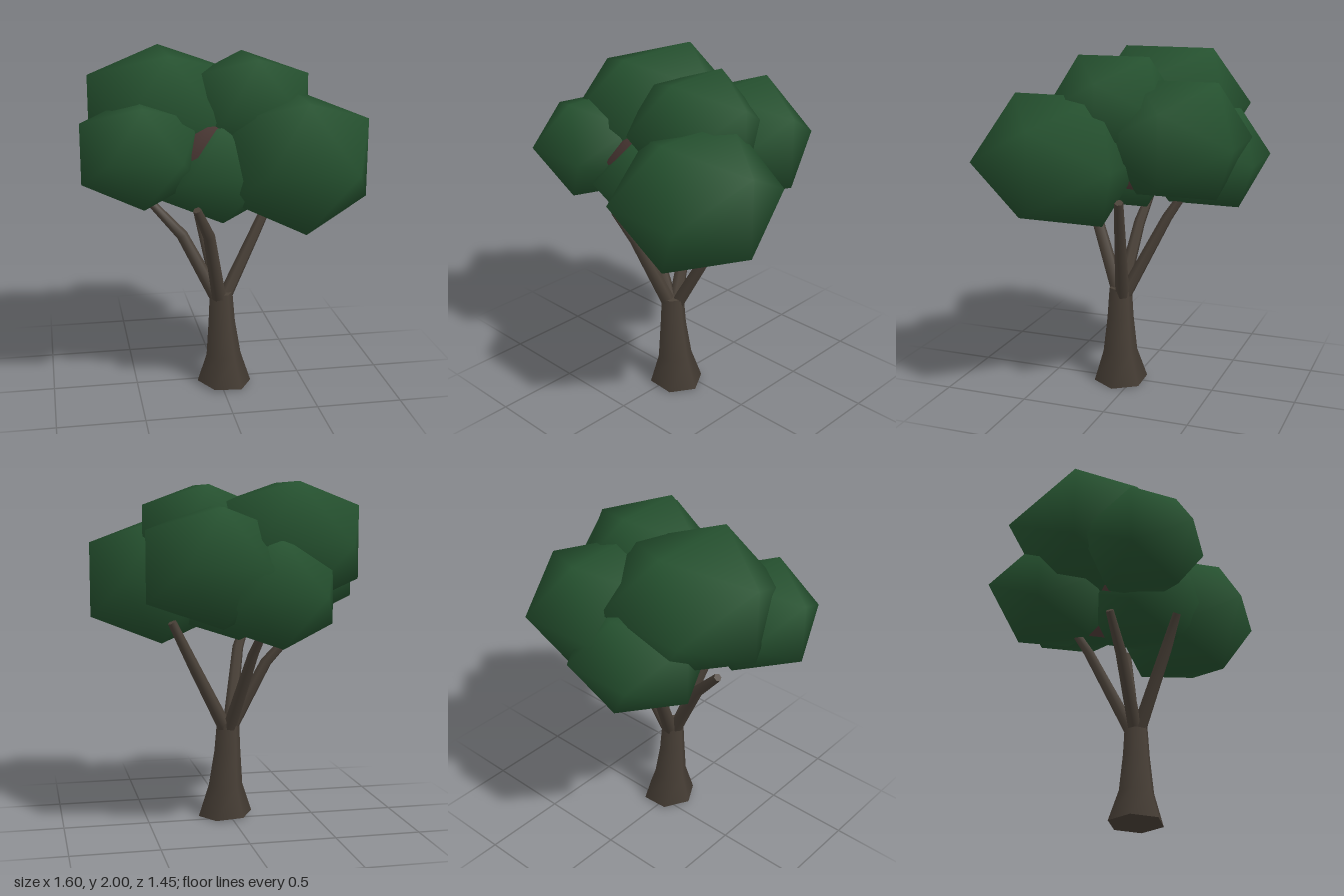
import * as THREE from 'three';

const leafGreen = new THREE.MeshStandardMaterial({ name: 'leafGreen', color: 0x25512f });
const barkBrown = new THREE.MeshStandardMaterial({ name: 'barkBrown', color: 0x4a4138 });
const coreBrown = new THREE.MeshStandardMaterial({ name: 'coreBrown', color: 0x503c38 });

// Smooth-shaded icosahedron clump, given its centre and half-extents
function clump(name, [x, y, z], [a, b, c], turn, material) {
  const g = new THREE.IcosahedronGeometry(1, 0);
  g.setAttribute('normal', g.attributes.position.clone()); // round normals
  g.rotateY(Math.PI / 2);
  const k = 1 / 0.8507; // reach of a unit icosahedron along each axis
  g.scale(a * k, b * k, c * k);
  g.rotateY(turn);
  const mesh = new THREE.Mesh(g, material);
  mesh.name = name;
  mesh.position.set(x, y, z);
  return mesh;
}

// Tapered six-sided limb through stations [x, y, z, radius], bottom to top
function limb(name, stations, upright = false) {
  const n = stations.length - 1;
  const g = new THREE.CylinderGeometry(1, 1, 1, 6, n);
  const p = g.attributes.position, nor = g.attributes.normal;
  const up = new THREE.Vector3(0, 1, 0), v = new THREE.Vector3();
  const at = (i) => new THREE.Vector3(...stations[Math.max(0, Math.min(n, i))].slice(0, 3));
  const turns = stations.map((s, i) => {
    const q = new THREE.Quaternion();
    if (!upright) q.setFromUnitVectors(up, at(i + 1).sub(at(i - 1)).normalize());
    return q;
  });
  for (let i = 0; i < p.count; i++) {
    const row = Math.round((p.getY(i) + 0.5) * n);
    const r = stations[row][3];
    // a quarter turn puts two ring corners on the x axis
    v.set(p.getZ(i) * r, 0, -p.getX(i) * r).applyQuaternion(turns[row]).add(at(row));
    p.setXYZ(i, v.x, v.y, v.z);
    v.set(nor.getZ(i), nor.getY(i), -nor.getX(i)).applyQuaternion(turns[row]);
    nor.setXYZ(i, v.x, v.y, v.z);
  }
  const mesh = new THREE.Mesh(g, barkBrown);
  mesh.name = name;
  return mesh;
}

export function createModel() {
  const tree = new THREE.Group();
  tree.name = 'tree';

  // Flared trunk, with a slightly slanted foot
  const trunk = limb('trunk', [
    [0.024, 0.01, 0.072, 0.163], [0.02, 0.19, 0.077, 0.104],
    [0.008, 0.4, 0.08, 0.08], [0.004, 0.585, 0.08, 0.068],
  ], true);
  const tp = trunk.geometry.attributes.position;
  for (let i = 0; i < tp.count; i++) {
    if (tp.getY(i) < 0.1) tp.setY(i, 0.01 - 0.06 * (tp.getX(i) - 0.024));
  }
  tree.add(trunk);

  // Four bent branches fanning out of the trunk top
  const branches = {
    rightBranch: [[-0.02, 0.55, 0.08, 0.042], [-0.22, 0.94, 0.04, 0.034], [-0.39, 1.13, 0.01, 0.024]],
    frontBranch: [[-0.01, 0.55, 0.1, 0.042], [-0.1, 1.0, 0.28, 0.034], [-0.18, 1.18, 0.36, 0.024]],
    backBranch: [[0, 0.55, 0.05, 0.042], [-0.09, 1.02, -0.18, 0.032], [-0.14, 1.2, -0.29, 0.024]],
    leftBranch: [[0.03, 0.55, 0.06, 0.042], [0.22, 0.92, 0.0, 0.034], [0.36, 1.2, -0.045, 0.026]],
  };
  for (const [name, stations] of Object.entries(branches)) tree.add(limb(name, stations));

  // Brown heart of the crown, showing through the gaps
  tree.add(clump('crownCore', [0, 1.48, 0.02], [0.36, 0.3, 0.36], 0, coreBrown));

  // Leaf clumps: name, centre, half-extents, turn
  const clumps = [
    ['leftFrontLeaves', [0.4, 1.427, 0.295], [0.4, 0.36, 0.42], -0.03],
    ['rightFrontLeaves', [-0.475, 1.485, 0.22], [0.325, 0.277, 0.317], 0],
    ['rightTopLeaves', [-0.3, 1.655, -0.115], [0.435, 0.345, 0.435], 0],
    ['leftTopLeaves', [0.17, 1.685, 0.055], [0.345, 0.3, 0.335], 0.04],
    ['leftBackLeaves', [0.165, 1.535, -0.315], [0.38, 0.325, 0.375], 0.03],
    ['backLowLeaves', [-0.16, 1.39, -0.38], [0.34, 0.29, 0.345], 0],
    ['frontLowLeaves', [-0.03, 1.36, 0.13], [0.35, 0.27, 0.33], 0],
  ];
  for (const [name, centre, half, turn] of clumps) tree.add(clump(name, centre, half, turn, leafGreen));

  return tree;
}
